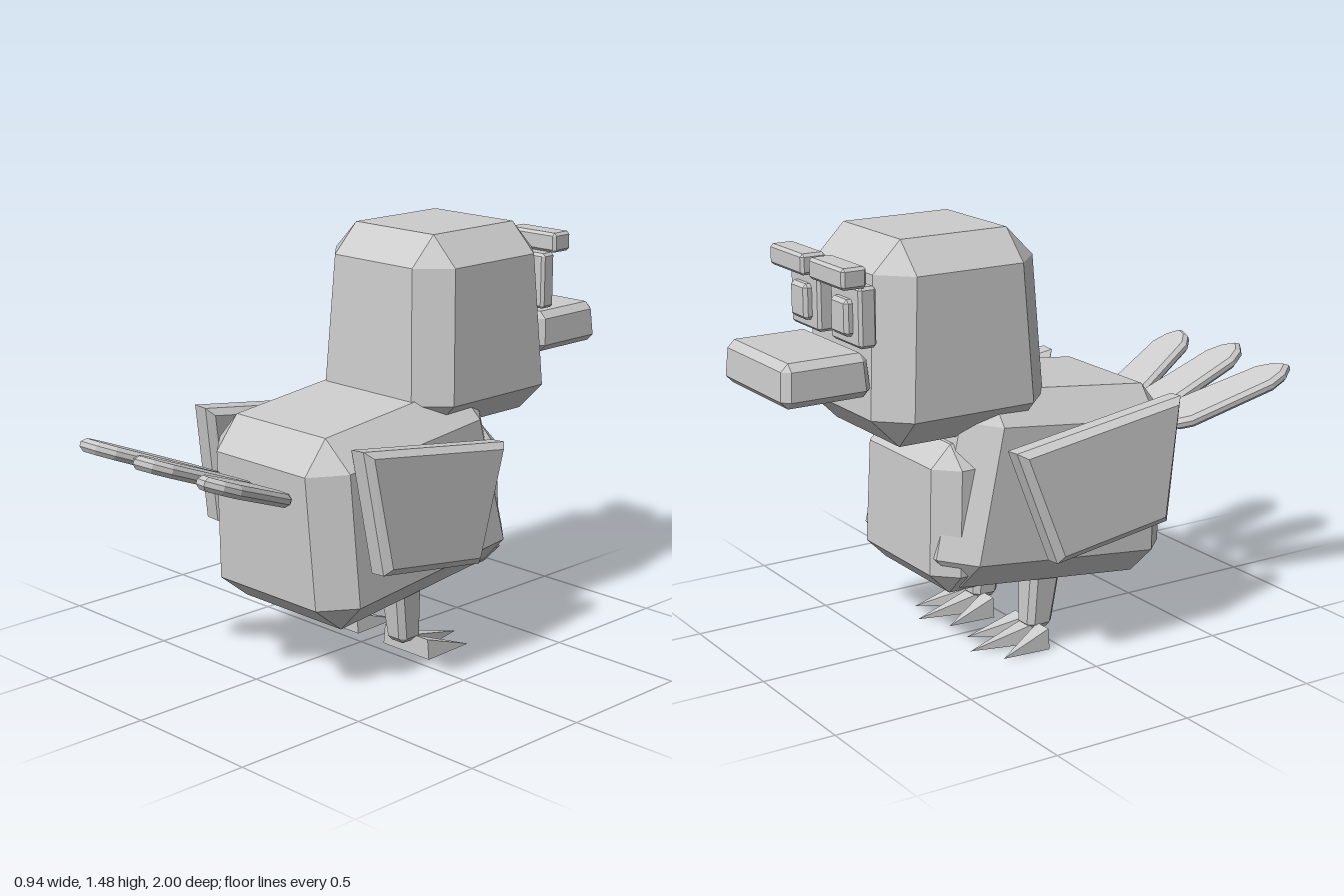
import * as THREE from 'three';
import { ConvexGeometry } from 'three/addons/geometries/ConvexGeometry.js';

const grey = new THREE.MeshStandardMaterial({ color: 0xcccccc, flatShading: true });
grey.name = 'grey';

function add(parent, name, geometry) {
  const mesh = new THREE.Mesh(geometry, grey);
  mesh.name = name;
  parent.add(mesh);
  return mesh;
}

// Tapered block with all edges chamfered by c.
// low and high are [x0, x1, z0, z1] of the widest outline near the bottom and top.
function block(y0, y1, low, high, c) {
  const pts = [];
  for (const [rect, yFace, yRing] of [[low, y0, y0 + c], [high, y1, y1 - c]]) {
    const [x0, x1, z0, z1] = rect;
    for (const [x, sx] of [[x0, 1], [x1, -1]]) {
      for (const [z, sz] of [[z0, 1], [z1, -1]]) {
        pts.push(new THREE.Vector3(x + sx * c, yFace, z + sz * c));
        pts.push(new THREE.Vector3(x, yRing, z + sz * c));
        pts.push(new THREE.Vector3(x + sx * c, yRing, z));
      }
    }
  }
  return new ConvexGeometry(pts);
}

// Flat outline with bevelled rims, centred on its thickness.
function slab(points, thickness, bevel) {
  const shape = new THREE.Shape(points.map(([x, y]) => new THREE.Vector2(x, y)));
  const depth = thickness - 2 * bevel;
  return new THREE.ExtrudeGeometry(shape, {
    depth, bevelEnabled: true, bevelSegments: 1,
    bevelSize: bevel, bevelThickness: bevel, bevelOffset: -bevel,
  }).translate(0, 0, -depth / 2);
}

export function createModel() {
  const bird = new THREE.Group();
  bird.name = 'bird';

  // Body leans back, chest and head stand upright
  const body = add(bird, 'body',
    block(0.236, 0.91, [-0.345, 0.345, -0.51, 0.41], [-0.325, 0.325, -0.45, 0.385], 0.105));
  body.rotation.x = 0.11;
  add(bird, 'chest',
    block(0.26, 0.775, [-0.29, 0.29, -0.48, 0], [-0.28, 0.28, -0.465, 0], 0.075));
  add(bird, 'head',
    block(0.8, 1.475, [-0.315, 0.315, -0.69, -0.03], [-0.29, 0.29, -0.66, -0.055], 0.103));
  add(bird, 'beak',
    block(0.983, 1.128, [-0.222, 0.222, -1, -0.683], [-0.215, 0.215, -0.993, -0.69], 0.025));

  for (const side of [-1, 1]) {
    const label = side > 0 ? 'left' : 'right';

    // Eyes and brows
    const box = (name, x0, x1, y0, y1, z0, z1, c) => {
      const rect = side > 0 ? [x0, x1, z0, z1] : [-x1, -x0, z0, z1];
      return add(bird, label + name, block(y0, y1, rect, rect, c));
    };
    box('Eye', 0.04, 0.235, 1.148, 1.347, -0.735, -0.672, 0.01);
    box('Pupil', 0.085, 0.19, 1.182, 1.302, -0.762, -0.72, 0.012);
    box('Brow', 0.022, 0.25, 1.347, 1.417, -0.802, -0.713, 0.01);

    // Wing
    const wing = add(bird, label + 'Wing', slab(
      [[0.33, -0.18], [-0.125, -0.245], [-0.27, 0.155], [0.398, 0.25]], 0.105, 0.025,
    ).rotateY(-Math.PI / 2));
    wing.position.set(side * 0.405, 0.62, 0);
    wing.rotation.z = side * 0.06;

    // Leg and three clawed toes
    const cx = side * 0.177;
    add(bird, label + 'Leg', block(0.05, 0.36,
      [cx - 0.046, cx + 0.046, -0.085, 0.015], [cx - 0.062, cx + 0.062, -0.075, 0.055], 0.02));
    for (const i of [-1, 0, 1]) {
      const pts = [[-0.042, 0], [0.042, 0], [0.035, 0.073], [-0.035, 0.073]].map(
        ([x, y]) => new THREE.Vector3(cx + i * 0.07 + x, y, -0.048));
      pts.push(new THREE.Vector3(cx + i * 0.118, 0.01, i ? -0.24 : -0.3));
      add(bird, label + 'Toe', new ConvexGeometry(pts));
    }
  }

  // Fan of three tail feathers
  const tail = new THREE.Group();
  tail.name = 'tail';
  tail.position.set(0, 0.685, 0.515);
  tail.rotation.x = -0.377;
  bird.add(tail);
  const outline = [[0, 0], [0.07, 0.05], [0.093, 0.1], [0.08, 0.42], [0.05, 0.48],
    [0, 0.518], [-0.05, 0.48], [-0.08, 0.42], [-0.093, 0.1], [-0.07, 0.05]];
  for (const i of [-1, 0, 1]) {
    const feather = add(tail, 'tailFeather', slab(outline, 0.045, 0.014).rotateX(Math.PI / 2));
    feather.position.x = i * 0.145;
    feather.rotation.y = i * 0.33;
  }
  return bird;
}
